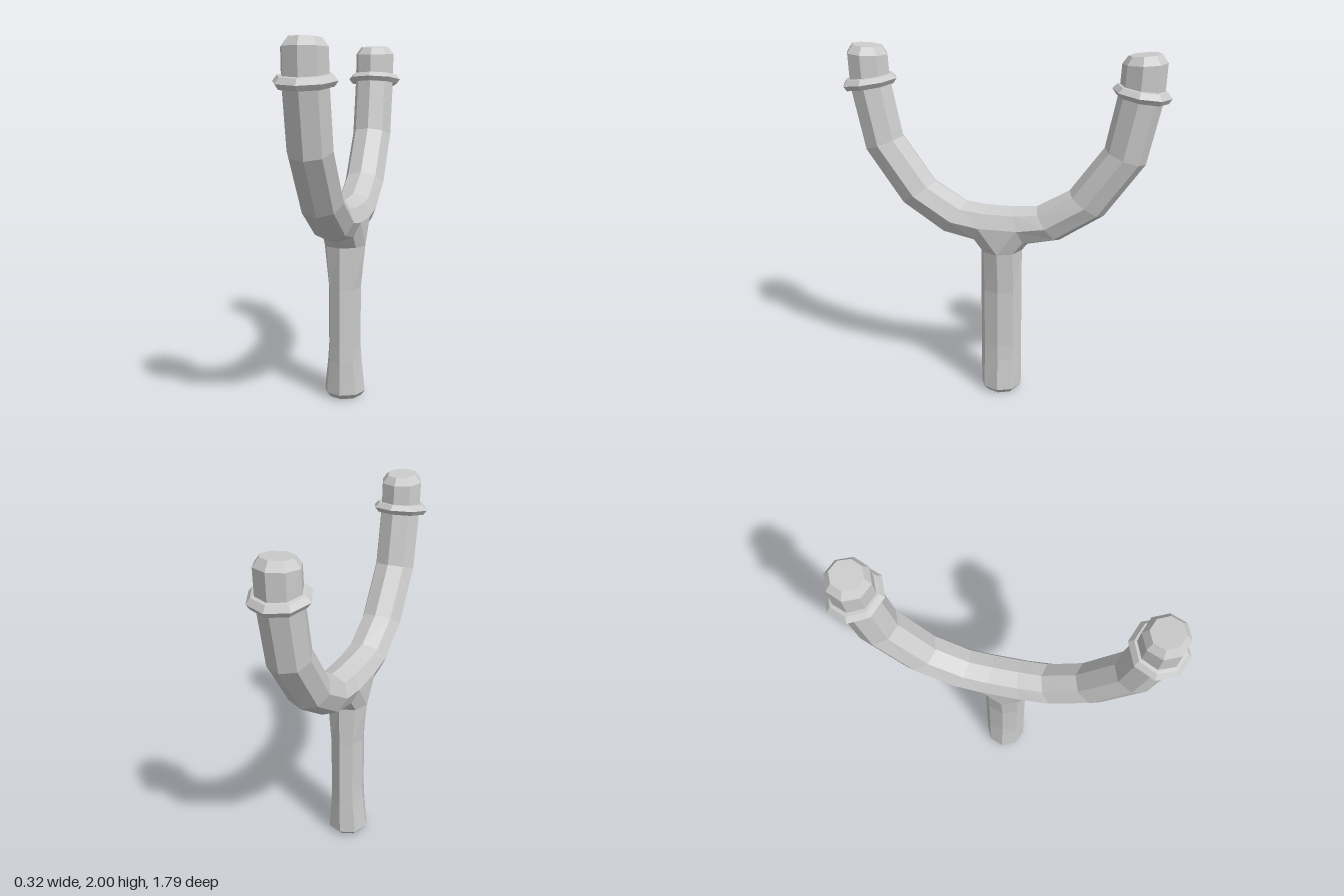
import * as THREE from 'three';
import { ConvexGeometry } from 'three/addons/geometries/ConvexGeometry.js';

const SIDES = 8;
const R = 0.118;
const material = new THREE.MeshStandardMaterial({ color: 0xcccccc, flatShading: true });

// Octagonal ring in space, spanned by an outer and an inner point (z, y) and a half width in x
function ring([zo, yo, zi, yi, rx = R]) {
  return Array.from({ length: SIDES }, (_, j) => {
    const a = (j / SIDES) * Math.PI * 2;
    const c = Math.cos(a) / 2;
    return new THREE.Vector3(
      Math.sin(a) * rx,
      (yo + yi) / 2 + (yo - yi) * c,
      (zo + zi) / 2 + (zo - zi) * c
    );
  });
}

// Skin over a row of rings, with optional end caps
function loft(name, sections, capStart = false, capEnd = false) {
  const rings = sections.map(ring);
  const pts = [];
  for (let i = 0; i < rings.length - 1; i++) {
    for (let j = 0; j < SIDES; j++) {
      const k = (j + 1) % SIDES;
      const a = rings[i][j], b = rings[i][k], c = rings[i + 1][k], d = rings[i + 1][j];
      pts.push(a, b, c, a, c, d);
    }
  }
  const first = rings[0], last = rings[rings.length - 1];
  for (let j = 1; j < SIDES - 1; j++) {
    if (capStart) pts.push(first[0], first[j + 1], first[j]);
    if (capEnd) pts.push(last[0], last[j], last[j + 1]);
  }
  const geometry = new THREE.BufferGeometry().setFromPoints(pts);
  geometry.computeVertexNormals();
  const mesh = new THREE.Mesh(geometry, material);
  mesh.name = name;
  return mesh;
}

export function createModel() {
  const model = new THREE.Group();
  model.name = 'slingshot';

  // Handle: pinched in x, constant in z, chamfered at the foot
  const level = (y, rx, rz = R) => [rz, y, -rz, y, rx];
  const handleTop = level(0.88, R);
  model.add(loft('handle', [
    level(0, 0.09, 0.09),
    level(0.03, R),
    level(0.22, 0.098),
    level(0.3, 0.093),
    level(0.64, 0.093),
    handleTop,
  ], true));

  // Fork joint between the handle and both arms
  const root = [0.15, 0.92, 0.07, 1.135];
  const rootRing = ring(root);
  const joint = new THREE.Mesh(new ConvexGeometry([
    ...ring(handleTop),
    ...rootRing,
    ...rootRing.map((p) => new THREE.Vector3(p.x, p.y, -p.z)),
  ]), material);
  joint.name = 'forkJoint';
  model.add(joint);

  // Two arms with collar and rounded tip
  ['front', 'back'].forEach((side, i) => {
    const arm = new THREE.Group();
    arm.name = side + 'Arm';
    arm.add(loft(side + 'Branch', [
      root,
      [0.33, 0.96, 0.2, 1.145],
      [0.57, 1.12, 0.38, 1.25],
      [0.78, 1.42, 0.56, 1.5],
      [0.857, 1.78, 0.624, 1.815],
      [0.864, 1.955, 0.632, 1.945],
      [0.832, 2.0, 0.662, 1.986, 0.085],
    ], false, true));
    arm.add(loft(side + 'Collar', [
      [0.855, 1.765, 0.625, 1.8, 0.115],
      [0.877, 1.747, 0.605, 1.79, 0.142],
      [0.895, 1.773, 0.586, 1.818, 0.162],
      [0.874, 1.805, 0.612, 1.842, 0.138],
      [0.855, 1.812, 0.63, 1.842, 0.115],
    ]));
    arm.rotation.y = i * Math.PI;
    model.add(arm);
  });

  return model;
}
